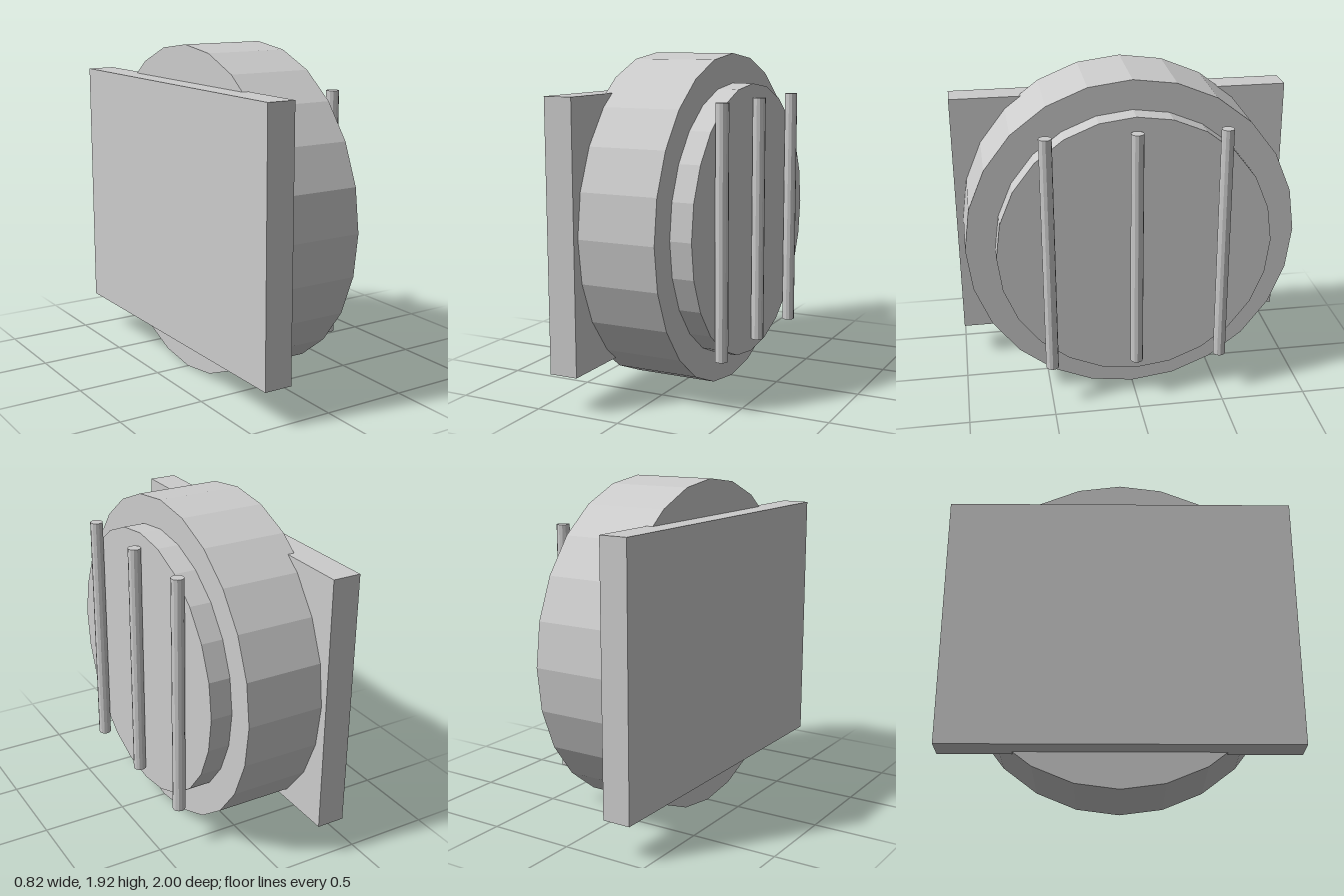
import * as THREE from 'three';

const CENTER_Y = 0.96;

export function createModel() {
  const group = new THREE.Group();
  const grey = new THREE.MeshStandardMaterial({ color: 0xcccccc, flatShading: true });
  grey.name = 'light grey';

  function add(name, geometry, x, y, z) {
    const mesh = new THREE.Mesh(geometry, grey);
    mesh.name = name;
    mesh.position.set(x, y, z);
    group.add(mesh);
  }

  // Faceted disc lying along the x axis
  function addDisc(name, radius, x0, x1) {
    const geometry = new THREE.CylinderGeometry(radius, radius, x1 - x0, 24);
    geometry.rotateZ(-Math.PI / 2);
    add(name, geometry, (x0 + x1) / 2, CENTER_Y, 0);
  }

  // Mounting plate behind the drum
  add('backPlate', new THREE.BoxGeometry(0.165, 1.5, 2), -0.3325, CENTER_Y, 0);

  // Main drum and the smaller raised disc on its face
  addDisc('drum', 0.96, -0.29, 0.207);
  addDisc('faceDisc', 0.79, 0.207, 0.334);

  // Three upright guard bars
  for (const z of [-0.5, 0, 0.5]) {
    add('guardBar', new THREE.CylinderGeometry(0.037, 0.037, 1.42, 12), 0.373, CENTER_Y, z);
  }

  return group;
}
